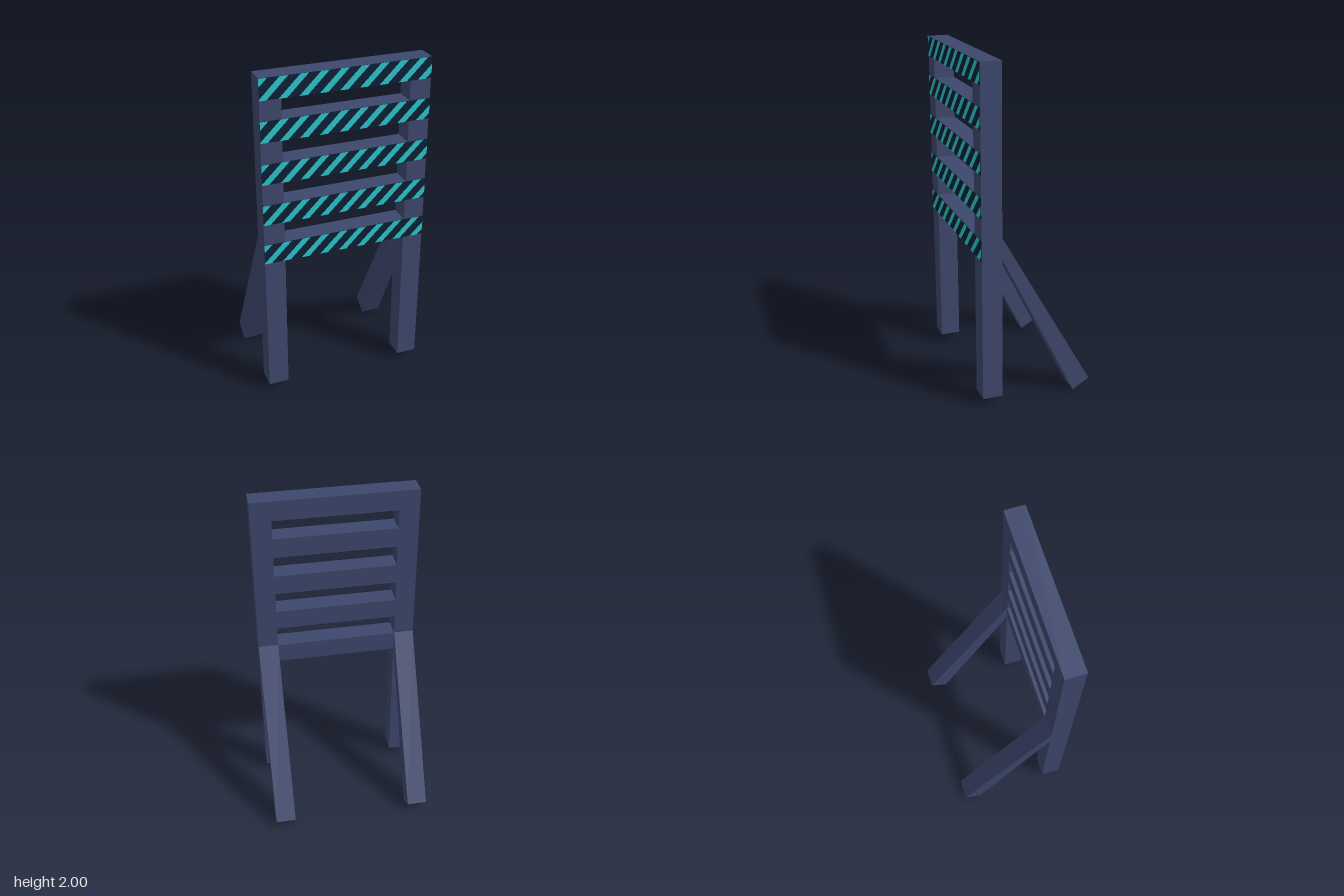
import * as THREE from 'three';

const W = 0.484, POST = 0.12, RAIL = 0.12, TOP = 2, FOOT = 0.055;
const BACK = 0.213, FRONT = 0.335;
const RAILS = [0.912, 1.157, 1.402, 1.646, 1.88];

const material = (name, color) => {
  const m = new THREE.MeshStandardMaterial({ color });
  m.name = name;
  return m;
};

const points = (list) => list.map(([x, y]) => new THREE.Vector2(x, y));

// Cut a polygon at a vertical line, keeping the side where sign * x <= sign * limit
function clip(poly, limit, sign) {
  const out = [];
  poly.forEach((a, i) => {
    const b = poly[(i + 1) % poly.length];
    const da = sign * (limit - a[0]), db = sign * (limit - b[0]);
    if (da >= 0) out.push(a);
    if (da * db < 0) {
      const t = da / (da - db);
      out.push([limit, a[1] + (b[1] - a[1]) * t]);
    }
  });
  return out;
}

export function createModel() {
  const group = new THREE.Group();
  const navy = material('navy frame', 0x3d476d);
  const dark = material('dark band', 0x0b1f35);
  const cyan = material('cyan stripe', 0x2bc4c9);

  const add = (parent, name, geometry, mat) => {
    const mesh = new THREE.Mesh(geometry, mat);
    mesh.name = name;
    parent.add(mesh);
    return mesh;
  };

  // Front frame: two posts joined by five rails
  const inner = W - POST;
  const outline = new THREE.Shape(points([
    [-W, FOOT], [-inner, FOOT], [-inner, RAILS[0]], [inner, RAILS[0]],
    [inner, FOOT], [W, FOOT], [W, TOP], [-W, TOP],
  ]));
  for (let i = 0; i < RAILS.length - 1; i++) {
    const low = RAILS[i] + RAIL, high = RAILS[i + 1];
    outline.holes.push(new THREE.Path(points([
      [-inner, low], [-inner, high], [inner, high], [inner, low],
    ])));
  }
  const frameDepth = FRONT - 0.003 - BACK;
  const frame = add(group, 'frame', new THREE.ExtrudeGeometry(outline, { depth: frameDepth, bevelEnabled: false }), navy);
  frame.position.z = BACK;

  // Slanted back legs, widening toward the feet
  const legProfile = new THREE.Shape(points([
    [BACK, 1.035], [BACK, 0.91], [-0.235, 0], [-0.335, 0.062],
  ].map(([z, y]) => [-z, y])));
  for (const [name, x] of [['leftBackLeg', W - POST], ['rightBackLeg', -W]]) {
    const geometry = new THREE.ExtrudeGeometry(legProfile, { depth: POST, bevelEnabled: false });
    geometry.rotateY(Math.PI / 2);
    add(group, name, geometry, navy).position.x = x;
  }

  // Warning bands: a dark plate with slanted stripes on each rail
  const period = 0.112, stripe = 0.047, slant = 0.12;
  RAILS.forEach((y, i) => {
    const band = new THREE.Group();
    band.name = `warningBand${i + 1}`;
    band.position.set(0, y, FRONT - 0.003);
    group.add(band);

    const plate = new THREE.BoxGeometry(2 * W, RAIL, 0.0015);
    plate.translate(0, RAIL / 2, 0.00075);
    add(band, 'bandPlate', plate, dark);

    const shapes = [];
    for (let x = -W - slant; x < W; x += period) {
      let poly = [[x, 0], [x + stripe, 0], [x + stripe + slant, RAIL], [x + slant, RAIL]];
      poly = clip(clip(poly, W, 1), -W, -1);
      if (poly.length > 2) shapes.push(new THREE.Shape(points(poly)));
    }
    add(band, 'stripes', new THREE.ShapeGeometry(shapes), cyan).position.z = 0.003;
  });

  return group;
}
